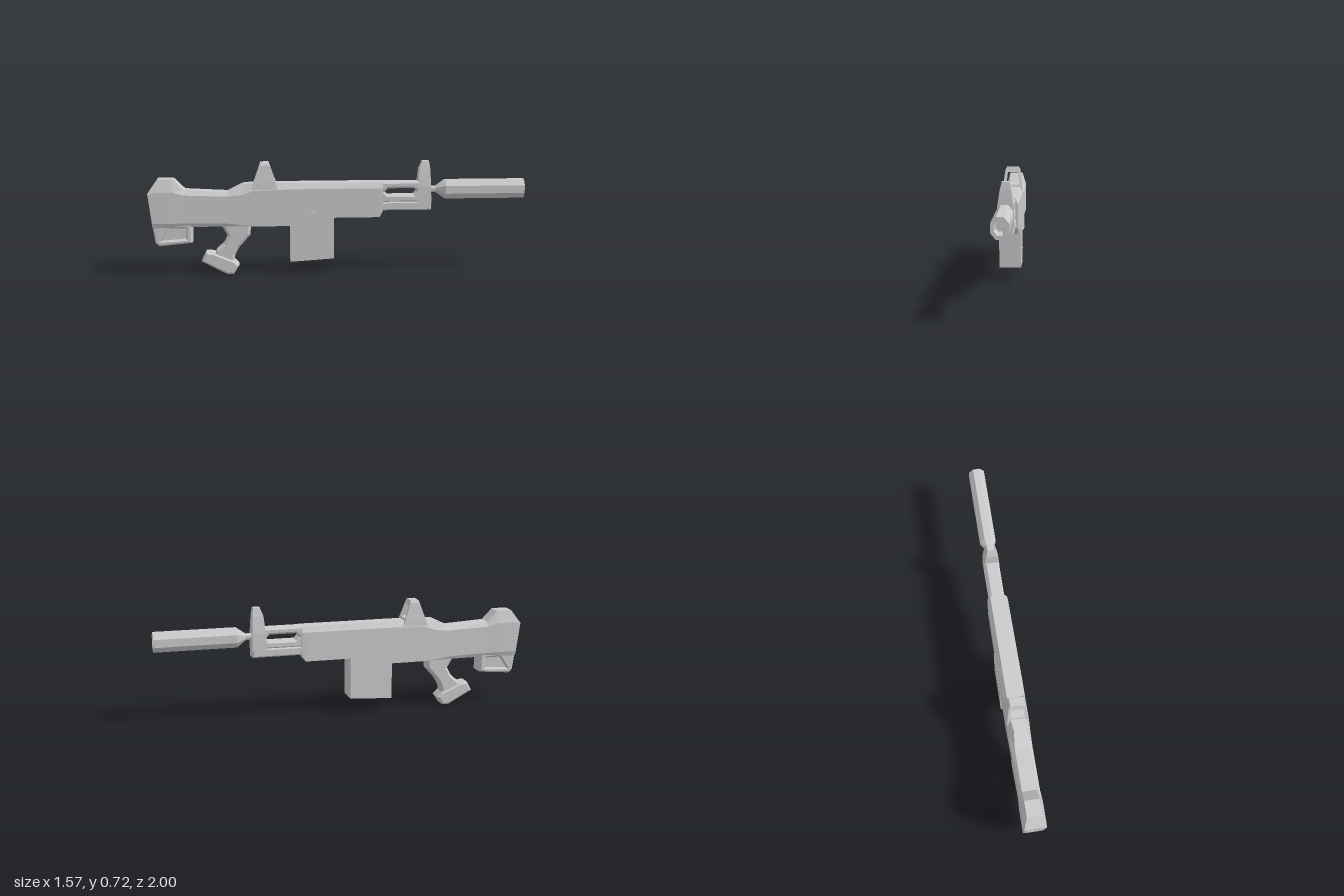
import * as THREE from 'three';

const material = new THREE.MeshStandardMaterial({ color: 0xcccccc, flatShading: true });

// Local axes: x runs along the length (muzzle at +x), y is up, z is the width.
function part(name, geometry) {
  const mesh = new THREE.Mesh(geometry, material);
  mesh.name = name;
  return mesh;
}

const outline = (pts) => pts.map(([x, y]) => new THREE.Vector2(x, y));

// Side profile extruded evenly about the centre plane, with chamfered edges.
function slab(points, halfWidth, bevel = 0, holes = []) {
  const shape = new THREE.Shape(outline(points));
  holes.forEach((h) => shape.holes.push(new THREE.Path(outline(h))));
  const geo = new THREE.ExtrudeGeometry(shape, {
    depth: 2 * (halfWidth - bevel), bevelEnabled: bevel > 0, bevelSegments: 1,
    bevelSize: bevel, bevelThickness: bevel, bevelOffset: -bevel,
  });
  return geo.translate(0, 0, bevel - halfWidth);
}

// Skin over closed rings of [x, y, z], capped at both ends.
function loft(rings) {
  const pos = [], n = rings[0].length;
  const tri = (...p) => p.forEach((v) => pos.push(...v));
  for (let i = 0; i < rings.length - 1; i++) {
    for (let j = 0; j < n; j++) {
      const k = (j + 1) % n;
      const a = rings[i][j], b = rings[i][k], c = rings[i + 1][k], d = rings[i + 1][j];
      tri(a, b, d);
      tri(b, c, d);
    }
  }
  const first = rings[0], last = rings[rings.length - 1];
  for (let j = 1; j < n - 1; j++) {
    tri(first[0], first[j + 1], first[j]);
    tri(last[0], last[j], last[j + 1]);
  }
  const geo = new THREE.BufferGeometry();
  geo.setAttribute('position', new THREE.Float32BufferAttribute(pos, 3));
  geo.computeVertexNormals();
  return geo;
}

// Moves every vertex by a rule (x, y, z) => [x, y, z].
function reshape(geo, rule) {
  const p = geo.attributes.position;
  for (let i = 0; i < p.count; i++) p.setXYZ(i, ...rule(p.getX(i), p.getY(i), p.getZ(i)));
  geo.computeVertexNormals();
  return geo;
}

// Body cross-section with chamfered shoulders and lower edges.
function bodyRing([x, xLow, top, shoulder, low, bottom, w, wTop, wLow]) {
  const right = [[x, top, wTop], [x, shoulder, w], [xLow, low, w], [xLow, bottom, wLow]];
  const left = right.map(([a, b, c]) => [a, b, -c]).reverse();
  return [...right, ...left];
}

export function createModel() {
  const root = new THREE.Group();
  root.name = 'model';
  const g = new THREE.Group();
  g.name = 'assembly';
  g.rotation.y = 0.918;
  root.add(g);

  // Butt, neck and receiver: x, lower x, top, shoulder, low, bottom, half widths
  const stations = [
    [-1.2, -1.175, 0.535, 0.53, 0.34, 0.31, 0.07, 0.068, 0.06],
    [-1.14, -1.14, 0.62, 0.54, 0.34, 0.31, 0.07, 0.045, 0.06],
    [-1.04, -1.04, 0.62, 0.54, 0.34, 0.315, 0.07, 0.045, 0.06],
    [-0.97, -0.97, 0.55, 0.52, 0.34, 0.315, 0.066, 0.045, 0.055],
    [-0.7, -0.7, 0.535, 0.51, 0.335, 0.315, 0.066, 0.045, 0.058],
    [-0.6, -0.6, 0.585, 0.52, 0.325, 0.315, 0.068, 0.035, 0.066],
    [-0.53, -0.53, 0.59, 0.545, 0.32, 0.315, 0.07, 0.045, 0.07],
    [-0.28, -0.28, 0.59, 0.553, 0.32, 0.315, 0.07, 0.045, 0.07],
    [-0.26, -0.26, 0.59, 0.553, 0.37, 0.365, 0.07, 0.045, 0.07],
    [0.275, 0.275, 0.59, 0.553, 0.37, 0.365, 0.066, 0.045, 0.066],
    [0.297, 0.297, 0.59, 0.553, 0.41, 0.405, 0.064, 0.045, 0.064],
  ];
  g.add(part('body', loft(stations.map(bodyRing))));

  // Lower butt: frame around a recessed panel
  g.add(part('lowerButt', slab(
    [[-1.19, 0.42], [-1.16, 0.21], [-1.135, 0.19], [-0.925, 0.21], [-0.925, 0.33], [-0.96, 0.42]],
    0.06, 0.01,
    [[[-1.125, 0.222], [-0.965, 0.235], [-0.965, 0.305], [-1.07, 0.305]]],
  )));
  g.add(part('buttPanel', slab(
    [[-1.14, 0.21], [-0.945, 0.22], [-0.945, 0.32], [-1.08, 0.32]], 0.032)));

  // Grip and its wider foot
  g.add(part('grip', slab([
    [-0.735, 0.35], [-0.735, 0.31], [-0.7, 0.25], [-0.725, 0.2], [-0.775, 0.155], [-0.79, 0.11],
    [-0.665, 0.06], [-0.655, 0.12], [-0.63, 0.17], [-0.555, 0.255], [-0.55, 0.35],
  ], 0.046, 0.016)));
  g.add(part('gripFoot', slab([
    [-0.84, 0.145], [-0.87, 0.085], [-0.71, 0], [-0.665, 0], [-0.63, 0.055],
    [-0.66, 0.085], [-0.79, 0.14],
  ], 0.056, 0.012)));

  // Box under the receiver
  g.add(part('magazine', slab(
    [[-0.3, 0.4], [-0.3, 0.08], [-0.02, 0.098], [-0.02, 0.4]], 0.071)));

  // Rear sight: tapered arch, open along the length
  const arch = new THREE.Shape(outline([
    [-0.068, 0.55], [0.068, 0.55], [0.064, 0.6], [0.05, 0.705], [0.04, 0.72],
    [-0.04, 0.72], [-0.05, 0.705], [-0.064, 0.6],
  ]));
  arch.holes.push(new THREE.Path(outline(
    [[-0.046, 0.605], [-0.036, 0.688], [0.036, 0.688], [0.046, 0.605]])));
  const rearSight = new THREE.ExtrudeGeometry(arch, { depth: 1, bevelEnabled: false });
  g.add(part('rearSight', reshape(rearSight, (w, y, t) => {
    const half = THREE.MathUtils.mapLinear(y, 0.55, 0.72, 0.085, 0.026);
    return [-0.46 + (2 * t - 1) * half, y, -w];
  })));

  // Slotted handguard and the rail below it
  g.add(part('handguard', slab(
    [[0.28, 0.455], [0.56, 0.455], [0.56, 0.59], [0.28, 0.59]], 0.046, 0.012,
    [[[0.31, 0.525], [0.33, 0.503], [0.5, 0.503], [0.52, 0.525], [0.5, 0.547], [0.33, 0.547]]],
  )));
  g.add(part('lowerRail', slab(
    [[0.28, 0.405], [0.612, 0.405], [0.612, 0.46], [0.28, 0.46]], 0.05, 0.008)));

  // Front sight: tall post narrowing upward
  const frontRing = ([y, x0, x1, w]) => [[x0, y, -w], [x0, y, w], [x1, y, w], [x1, y, -w]];
  g.add(part('frontSight', loft([
    [0.45, 0.52, 0.612, 0.052], [0.56, 0.525, 0.61, 0.05],
    [0.67, 0.535, 0.605, 0.034], [0.72, 0.555, 0.598, 0.022],
  ].map(frontRing))));

  // Thin barrel flaring into an eight-sided sleeve with an open bore
  const barrel = new THREE.LatheGeometry(outline([
    [0, 0.55], [0.026, 0.55], [0.022, 0.645], [0.066, 0.705], [0.066, 1.222],
    [0.042, 1.222], [0.038, 1.1], [0, 1.1],
  ]), 8, Math.PI / 8);
  barrel.rotateZ(-Math.PI / 2).scale(1, 1, 0.84).translate(0, 0.535, 0);
  g.add(part('barrel', barrel));

  return root;
}
